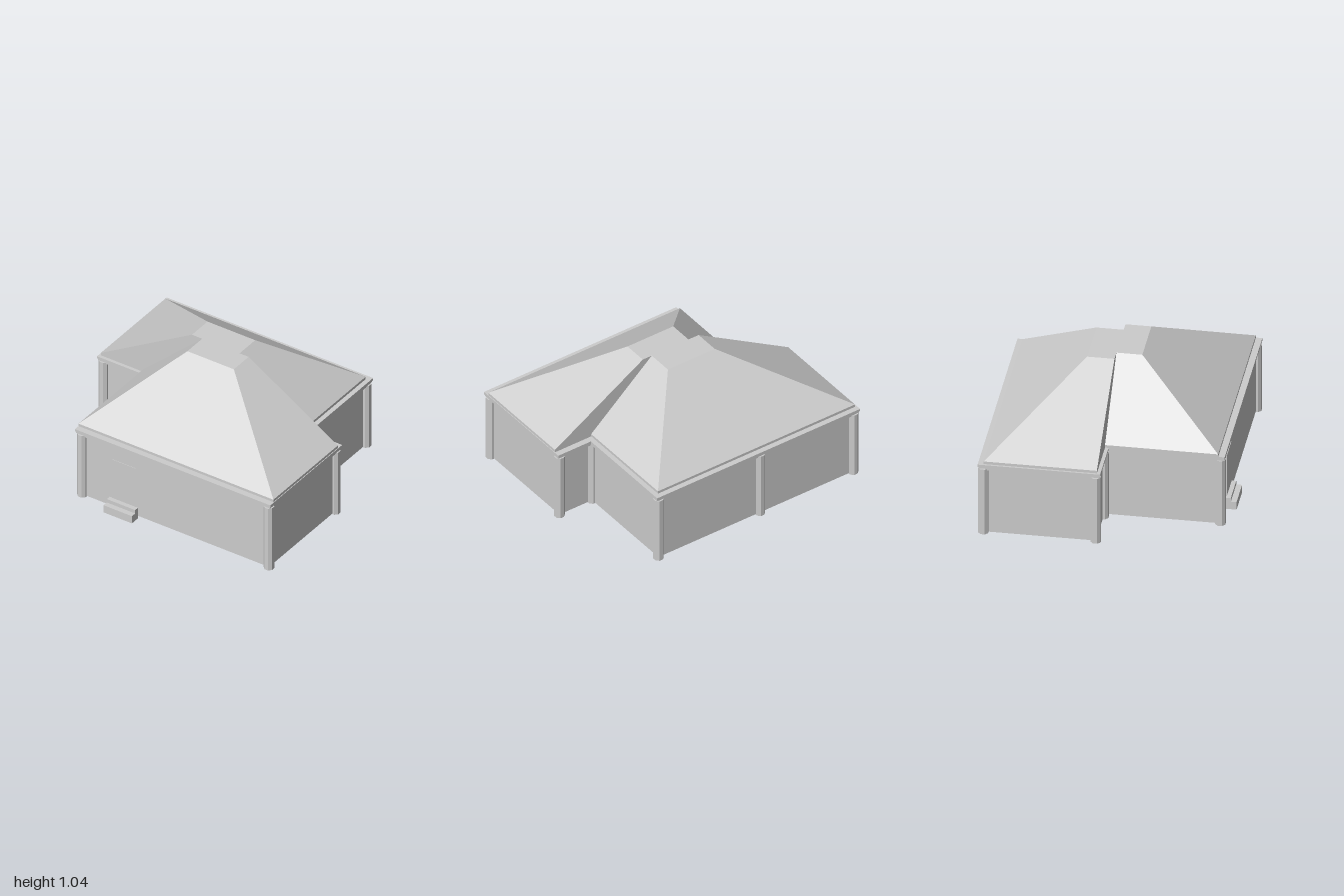
import * as THREE from 'three';

export function createModel() {
  const house = new THREE.Group();
  house.name = 'house';
  const grey = new THREE.MeshStandardMaterial({ name: 'plain grey', color: 0xcccccc, flatShading: true });

  function add(name, geometry, x = 0, y = 0, z = 0) {
    const mesh = new THREE.Mesh(geometry, grey);
    mesh.name = name;
    mesh.position.set(x, y, z);
    house.add(mesh);
    return mesh;
  }

  function box(name, x0, x1, y0, y1, z0, z1) {
    return add(name, new THREE.BoxGeometry(x1 - x0, y1 - y0, z1 - z0),
      (x0 + x1) / 2, (y0 + y1) / 2, (z0 + z1) / 2);
  }

  // Two overlapping wings as one footprint, grown outwards by d
  function slab(name, d, y0, y1) {
    const plan = [
      [-0.965 - d, -0.81 - d], [0.675 + d, -0.81 - d],
      [0.675 + d, -0.03 - d], [0.95 + d, -0.03 - d],
      [0.95 + d, 0.775 + d], [-0.6 - d, 0.775 + d],
      [-0.6 - d, -0.03 + d], [-0.965 - d, -0.03 + d],
    ];
    const shape = new THREE.Shape(plan.map(([x, z]) => new THREE.Vector2(x, -z)));
    const geometry = new THREE.ExtrudeGeometry(shape, { depth: y1 - y0, bevelEnabled: false });
    geometry.rotateX(-Math.PI / 2);
    add(name, geometry, 0, y0, 0);
  }

  slab('walls', 0, 0.02, 0.53);
  slab('eaveMoulding', 0.02, 0.52, 0.537);
  slab('gutter', 0.03, 0.537, 0.55);
  slab('gutterLip', 0.035, 0.55, 0.568);

  // Eight-sided posts at the corners and in the middle of the back wall
  const posts = [
    [-0.965, -0.81], [-0.18, -0.81], [0.675, -0.81], [0.675, -0.03], [0.95, -0.03],
    [0.95, 0.775], [-0.595, 0.775], [-0.635, -0.03], [-0.965, -0.03],
  ];
  for (const [x, z] of posts) {
    const geometry = new THREE.CylinderGeometry(0.0375, 0.0375, 0.515, 8);
    geometry.rotateY(Math.PI / 8);
    add('post', geometry, x, 0.2735, z);
  }

  // Hipped roof: a box whose upper corners are drawn in to the flat ridge
  function roof(name, [bx0, bx1, bz0, bz1], [tx0, tx1, tz0, tz1]) {
    box(name + 'Skirt', bx0, bx1, 0.55, 0.588, bz0, bz1);
    const geometry = new THREE.BoxGeometry(1, 1, 1);
    const p = geometry.attributes.position;
    for (let i = 0; i < p.count; i++) {
      const top = p.getY(i) > 0;
      const x = p.getX(i) > 0 ? (top ? tx1 : bx1) : (top ? tx0 : bx0);
      const z = p.getZ(i) > 0 ? (top ? tz1 : bz1) : (top ? tz0 : bz0);
      p.setXYZ(i, x, top ? 1.037 : 0.588, z);
    }
    geometry.computeVertexNormals();
    add(name, geometry);
  }
  roof('rearRoof', [-0.985, 0.675, -0.805, -0.02], [-0.23, 0.165, -0.21, -0.02]);
  roof('frontRoof', [-0.635, 0.98, -0.02, 0.765], [-0.145, 0.24, -0.02, 0.16]);

  // Door and its steps
  box('door', -0.35, -0.155, 0.09, 0.41, 0.774, 0.779);
  box('lowerStep', -0.37, -0.135, 0, 0.06, 0.775, 0.85);
  box('upperStep', -0.37, -0.135, 0.06, 0.088, 0.775, 0.81);

  return house;
}
